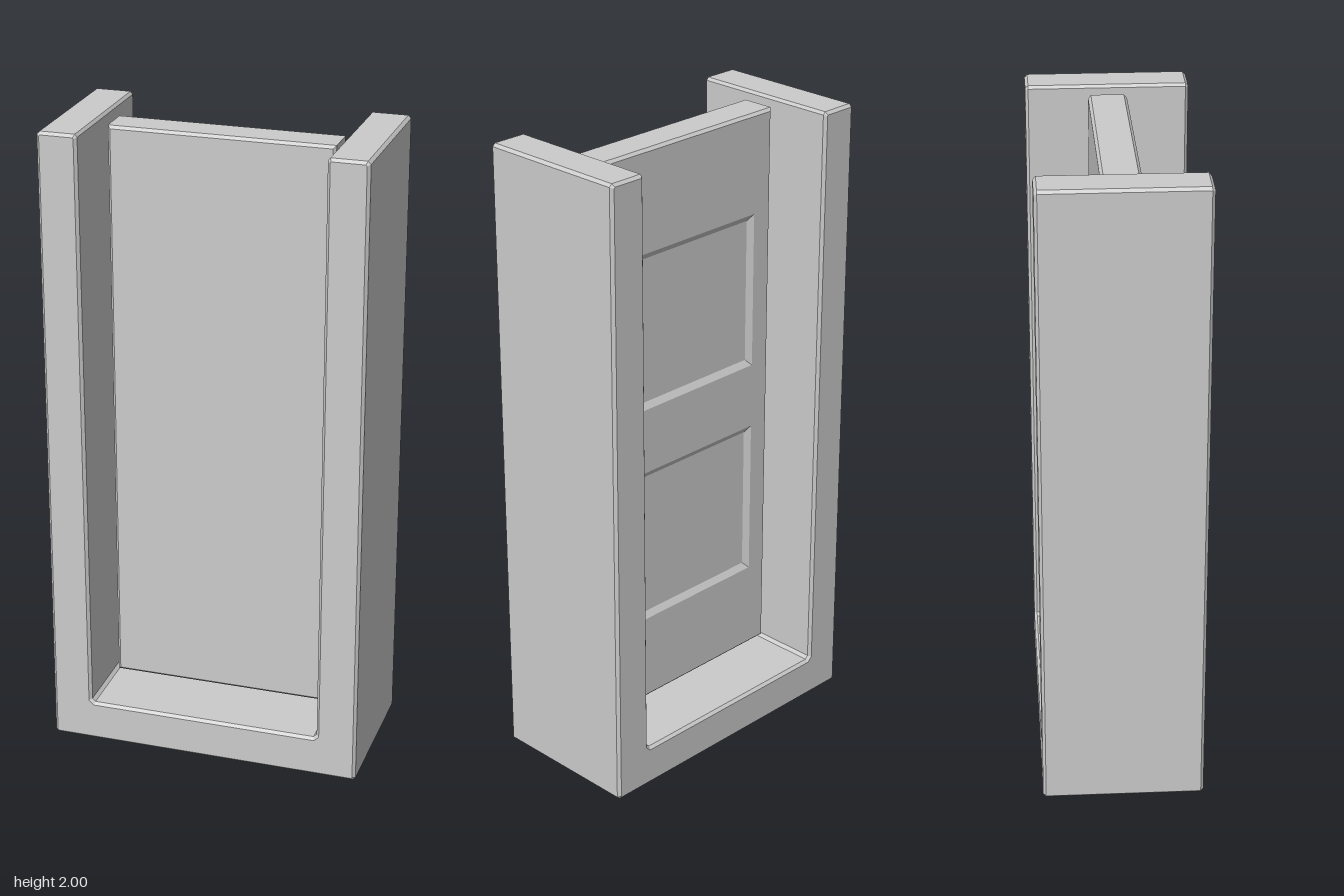
import * as THREE from 'three';
import { mergeGeometries } from 'three/addons/utils/BufferGeometryUtils.js';

const BEVEL = 0.009;

function polygon(points) {
  return new THREE.Shape(points.map(([x, y]) => new THREE.Vector2(x, y)));
}

// Rectangular ring given by half width, bottom, top and depth
const ring = (w, y0, y1, z) => [[-w, y0, z], [w, y0, z], [w, y1, z], [-w, y1, z]];

// Joins successive rings with flat quads, closing the first and/or last one
function loft(rings, capFirst, capLast) {
  const pos = [];
  const quad = (a, b, c, d) => pos.push(...a, ...b, ...c, ...a, ...c, ...d);
  for (let r = 0; r + 1 < rings.length; r++) {
    for (let i = 0; i < 4; i++) {
      const j = (i + 1) % 4;
      quad(rings[r][i], rings[r + 1][i], rings[r + 1][j], rings[r][j]);
    }
  }
  if (capFirst) quad(...rings[0]);
  if (capLast) quad(...[...rings[rings.length - 1]].reverse());
  const g = new THREE.BufferGeometry();
  g.setAttribute('position', new THREE.Float32BufferAttribute(pos, 3));
  g.computeVertexNormals();
  return g;
}

// U-shaped surround, chamfered on every edge
function surroundGeometry() {
  const X = 0.497, Z = 0.248, H = 2, floor = 0.132, b = BEVEL;
  const half = [
    [X - b, 0], [X, b], [X, H - b], [X - b, H],
    [0.38, H], [0.373, H - b], [0.37, floor + 0.01], [0.36, floor],
  ];
  const mirrored = half.map(([x, y]) => [-x, y]).reverse();
  const g = new THREE.ExtrudeGeometry(polygon([...half, ...mirrored]), {
    depth: 2 * (Z - b), bevelEnabled: true, bevelSegments: 1,
    bevelSize: b, bevelThickness: b, bevelOffset: -b,
  });
  return g.translate(0, 0, -(Z - b));
}

// Slab with two sunken panels on its back
function doorGeometry() {
  const W = 0.348, Y0 = 0.155, Y1 = 1.978, Z = 0.059, b = BEVEL;
  const panelW = 0.275, slope = 0.02, sunk = 0.012;
  const panels = [[0.44, 0.95], [1.16, 1.66]];

  const shell = loft([
    ring(W - b, Y0 + b, Y1 - b, Z),
    ring(W, Y0, Y1, Z - b),
    ring(W, Y0, Y1, -Z + b),
    ring(W - b, Y0 + b, Y1 - b, -Z),
  ], true, false);

  const back = polygon(ring(W - b, Y0 + b, Y1 - b, 0));
  back.holes = panels.map(([y0, y1]) => polygon(ring(panelW, y0, y1, 0)));
  const backFace = new THREE.ShapeGeometry(back).toNonIndexed();
  backFace.deleteAttribute('uv');
  backFace.rotateY(Math.PI).translate(0, 0, -Z);

  const recesses = panels.map(([y0, y1]) => loft([
    ring(panelW, y0, y1, -Z),
    ring(panelW - slope, y0 + slope, y1 - slope, -Z + sunk),
  ], false, true));

  return mergeGeometries([shell, backFace, ...recesses]);
}

export function createModel() {
  const group = new THREE.Group();
  const material = new THREE.MeshStandardMaterial({ color: 0xcccccc, flatShading: true });
  const parts = { surround: surroundGeometry(), door: doorGeometry() };
  for (const [name, geometry] of Object.entries(parts)) {
    const mesh = new THREE.Mesh(geometry, material);
    mesh.name = name;
    group.add(mesh);
  }
  return group;
}
